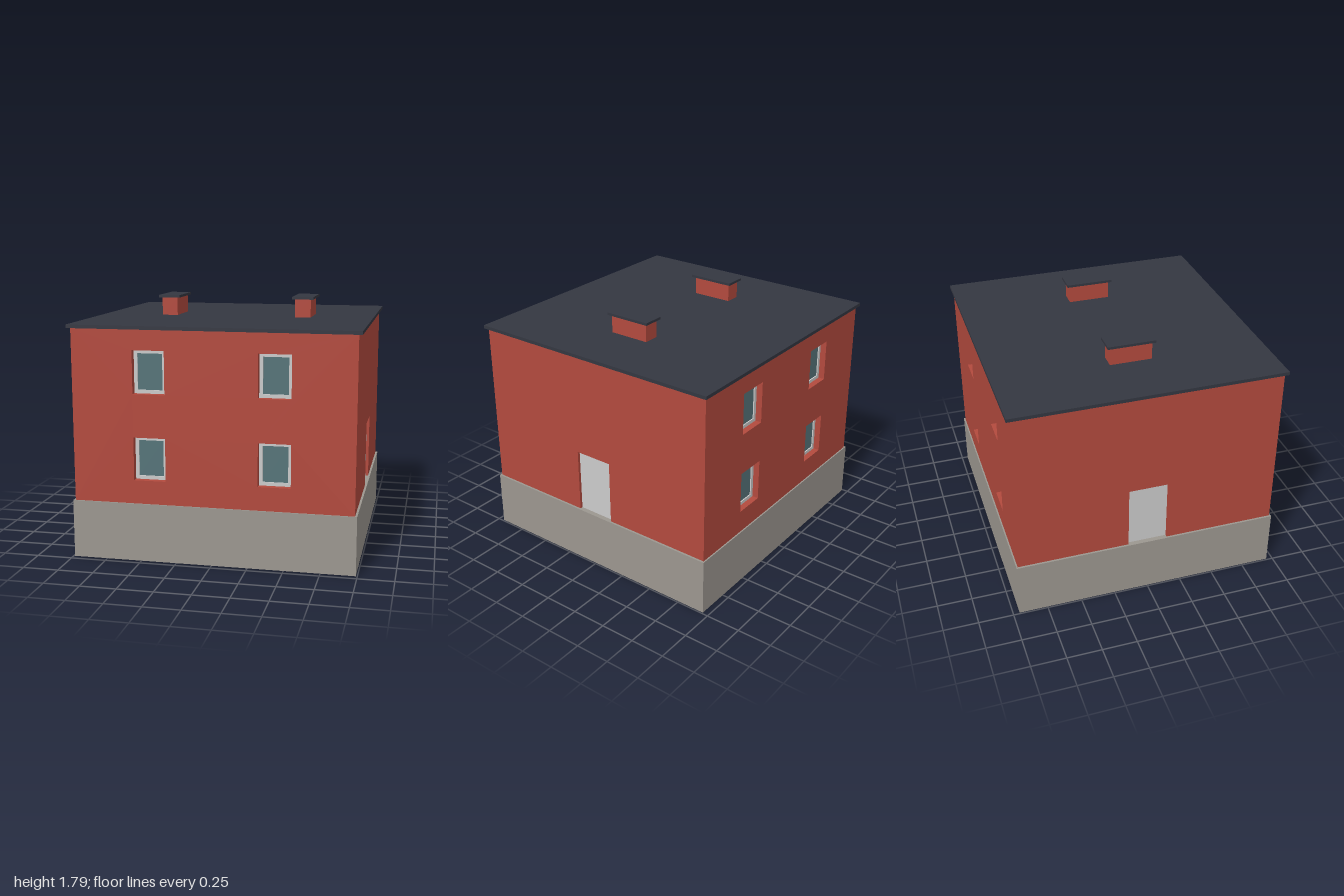
import * as THREE from 'three';

const mat = (color) => new THREE.MeshStandardMaterial({ color, side: THREE.DoubleSide, flatShading: true });

const BASE_TOP = 0.41, WALL_TOP = 1.62;
const WX = 0.975, WZ = 0.945; // wall half sizes
const BX = 0.99, BZ = 0.955;  // plinth half sizes

// Corners of a rectangle, counter-clockwise
const rect = (x0, y0, x1, y1) => [[x0, y0], [x1, y0], [x1, y1], [x0, y1]].map(([x, y]) => new THREE.Vector2(x, y));

// Thin strip following a run of points, from z = 0 back to z = -depth
function sleeve(points, depth, closed = true) {
  const pos = [];
  const count = closed ? points.length : points.length - 1;
  for (let i = 0; i < count; i++) {
    const a = points[i], b = points[(i + 1) % points.length];
    pos.push(a.x, a.y, 0, b.x, b.y, -depth, b.x, b.y, 0);
    pos.push(a.x, a.y, 0, a.x, a.y, -depth, b.x, b.y, -depth);
  }
  const g = new THREE.BufferGeometry();
  g.setAttribute('position', new THREE.Float32BufferAttribute(pos, 3));
  g.computeVertexNormals();
  return g;
}

// Flat panel with rectangular openings
function panel(outline, holes = []) {
  const shape = new THREE.Shape(outline);
  holes.forEach((h) => shape.holes.push(new THREE.Path([...h].reverse())));
  return new THREE.ShapeGeometry(shape);
}

export function createModel() {
  const model = new THREE.Group();
  const brick = mat(0xb34a3e), stone = mat(0x9c9790), slate = mat(0x343741);
  const glass = mat(0x567479), grey = mat(0xcccccc);

  const add = (parent, name, geometry, material, x = 0, y = 0, z = 0) => {
    const m = new THREE.Mesh(geometry, material);
    m.name = name;
    m.position.set(x, y, z);
    parent.add(m);
    return m;
  };

  // Plinth: open-bottomed skirt with a narrow ledge around the walls
  const skirt = add(model, 'plinth', sleeve(rect(-BX, -BZ, BX, BZ), BASE_TOP), stone, 0, BASE_TOP, 0);
  skirt.rotation.x = -Math.PI / 2;
  const ledge = add(model, 'plinthLedge',
    panel(rect(-BX, -BZ, BX, BZ), [rect(-WX, -WZ, WX, WZ)]), stone, 0, BASE_TOP, 0);
  ledge.rotation.x = -Math.PI / 2;

  // Front and back walls with four recessed windows each
  const RECESS = 0.045, FRAME = 0.025;
  [0, Math.PI].forEach((turn, i) => {
    const side = new THREE.Group();
    side.name = i ? 'backWall' : 'frontWall';
    side.rotation.y = turn;
    model.add(side);
    const openings = [];
    for (const cx of [-0.432, 0.432]) {
      for (const cy of [0.725, 1.325]) {
        const w = 0.112, h = 0.15;
        const opening = rect(cx - w, cy - h, cx + w, cy + h);
        const pane = rect(cx - w + FRAME, cy - h + FRAME, cx + w - FRAME, cy + h - FRAME);
        openings.push(opening);
        add(side, 'windowReveal', sleeve(opening, RECESS), brick, 0, 0, WZ);
        add(side, 'windowFrame', panel(opening, [pane]), grey, 0, 0, WZ - RECESS);
        add(side, 'windowFrameEdge', sleeve(pane, 0.008), grey, 0, 0, WZ - RECESS);
        add(side, 'windowGlass', panel(pane), glass, 0, 0, WZ - RECESS - 0.008);
      }
    }
    add(side, 'wallSurface', panel(rect(-WX, BASE_TOP, WX, WALL_TOP), openings), brick, 0, 0, WZ);
  });

  // Side walls with a recessed door each
  const DW = 0.143, DOOR_TOP = 0.875, DOOR_RECESS = 0.02;
  [1, -1].forEach((s) => {
    const side = new THREE.Group();
    side.name = s > 0 ? 'leftWall' : 'rightWall';
    side.rotation.y = s * Math.PI / 2;
    model.add(side);
    const [bl, br, tr, tl] = rect(-DW, BASE_TOP, DW, DOOR_TOP);
    const [wbl, wbr, wtr, wtl] = rect(-WZ, BASE_TOP, WZ, WALL_TOP);
    add(side, 'wallSurface', panel([wbl, bl, tl, tr, br, wbr, wtr, wtl]), brick, 0, 0, WX);
    add(side, 'doorReveal', sleeve([br, tr, tl, bl], DOOR_RECESS, false), brick, 0, 0, WX);
    add(side, 'doorThreshold', sleeve([bl, br], DOOR_RECESS, false), stone, 0, 0, WX);
    add(side, 'door', panel([bl, br, tr, tl]), grey, 0, 0, WX - DOOR_RECESS);
  });

  // Flat roof slab
  add(model, 'roof', new THREE.BoxGeometry(2, 0.024, 1.93), slate, 0, 1.628, 0);

  // Two chimneys with caps
  for (const x of [-0.497, 0.497]) {
    const chimney = new THREE.Group();
    chimney.name = 'chimney';
    chimney.position.x = x;
    model.add(chimney);
    add(chimney, 'chimneyStack', new THREE.BoxGeometry(0.115, 0.13, 0.3), brick, 0, 1.705, 0);
    add(chimney, 'chimneyCap', new THREE.BoxGeometry(0.155, 0.018, 0.342), slate, 0, 1.779, 0);
  }
  return model;
}
